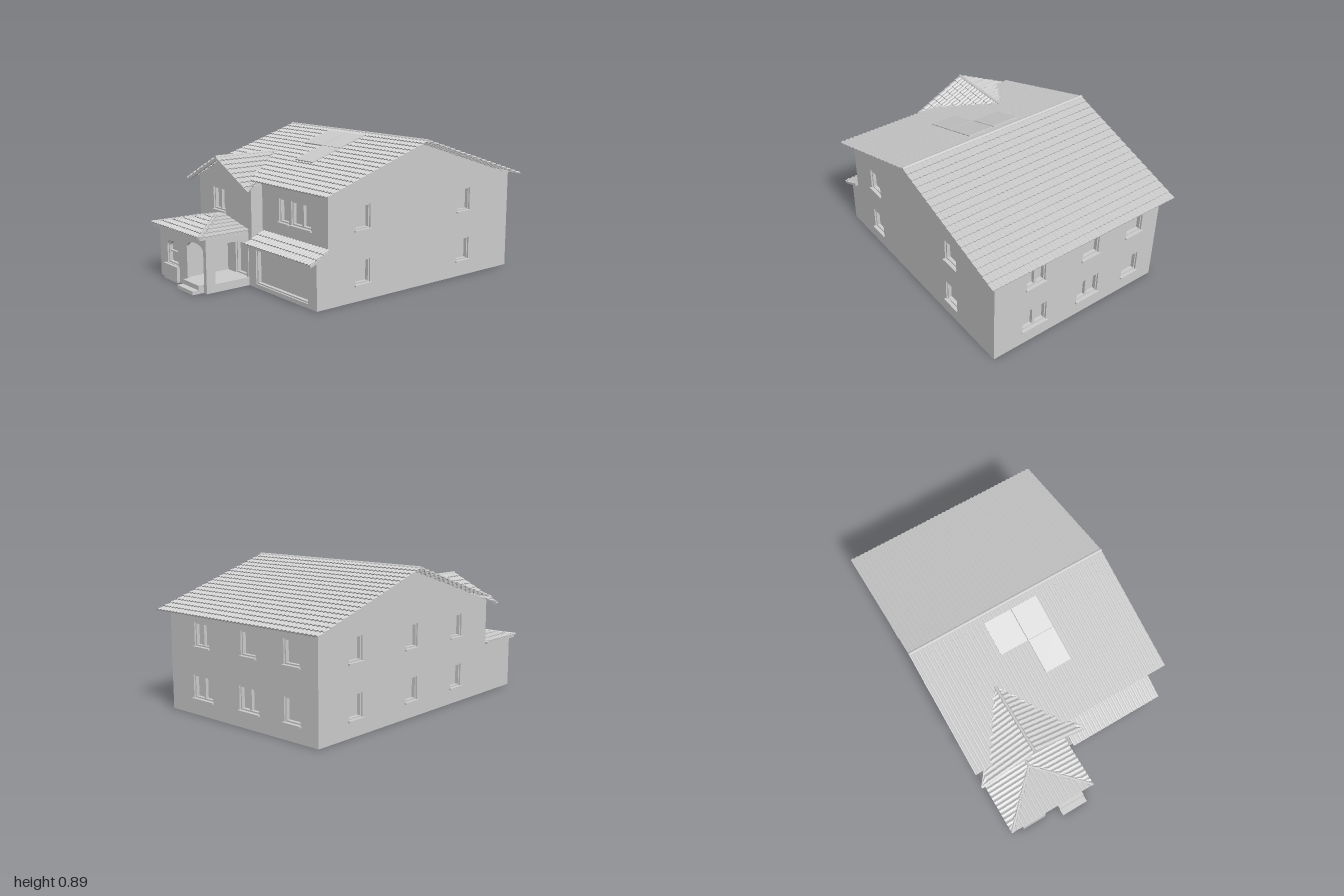
import * as THREE from 'three';

const stone = new THREE.MeshStandardMaterial({ color: 0xcccccc, side: THREE.DoubleSide });
stone.name = 'pale grey';

const V = (x, y, z) => new THREE.Vector3(x, y, z);
const X = V(1, 0, 0), Z = V(0, 0, 1);
const T = 0.018; // wall thickness

function add(parent, name, geometry) {
  const mesh = new THREE.Mesh(geometry, stone);
  mesh.name = name;
  parent.add(mesh);
  return mesh;
}

// Box given by its two corners
function box(parent, name, x0, x1, y0, y1, z0, z1) {
  const mesh = add(parent, name, new THREE.BoxGeometry(x1 - x0, y1 - y0, z1 - z0));
  mesh.position.set((x0 + x1) / 2, (y0 + y1) / 2, (z0 + z1) / 2);
  return mesh;
}

function rod(parent, name, a, b, r) {
  const mesh = add(parent, name, new THREE.CylinderGeometry(r, r, a.distanceTo(b), 8));
  mesh.position.copy(a).lerp(b, 0.5);
  mesh.quaternion.setFromUnitVectors(V(0, 1, 0), b.clone().sub(a).normalize());
}

// Outline of a rectangular opening, or an arched one if rise > 0
function outline(o, inset = 0, Type = THREE.Path) {
  const x0 = o.x0 + inset, x1 = o.x1 - inset, y0 = o.y0 + inset, y1 = o.y1 - inset;
  const rise = o.rise || 0, p = new Type();
  p.moveTo(x0, y0).lineTo(x1, y0).lineTo(x1, y1 - rise);
  if (rise) p.absellipse((x0 + x1) / 2, y1 - rise, (x1 - x0) / 2, rise, 0, Math.PI, false);
  else p.lineTo(x0, y1);
  p.closePath();
  return p;
}

const extrude = (shape, depth) =>
  new THREE.ExtrudeGeometry(shape, { depth, bevelEnabled: false, curveSegments: 14 });

// Frame, pane, bars and sill set back into an opening
function fillOpening(wall, o) {
  const ring = outline(o, 0, THREE.Shape);
  ring.holes.push(outline(o, 0.008));
  add(wall, o.name + 'Frame', extrude(ring, 0.028)).position.z = -0.038;
  add(wall, o.name + 'Pane', extrude(outline(o, 0.004, THREE.Shape), 0.004)).position.z = -0.036;
  const n = o.panes || 1;
  for (let i = 1; i < n; i++) {
    const x = o.x0 + (o.x1 - o.x0) * i / n;
    box(wall, o.name + 'Mullion', x - 0.008, x + 0.008, o.y0, o.y1, -0.036, -0.013);
  }
  if (o.rail) box(wall, o.name + 'Rail', o.x0, o.x1, o.rail - 0.004, o.rail + 0.004, -0.036, -0.016);
  if (o.sill !== false) box(wall, o.name + 'Sill', o.x0 - 0.007, o.x1 + 0.007, o.y0 - 0.01, o.y0, -0.01, 0.013);
}

// Wall with openings; local z = 0 is its outer face
function wall(parent, name, points, openings, position, turn = 0) {
  const g = new THREE.Group();
  g.name = name;
  g.position.copy(position);
  g.rotation.y = turn;
  const shape = new THREE.Shape(points.map(p => new THREE.Vector2(...p)));
  openings.forEach(o => shape.holes.push(outline(o)));
  add(g, name + 'Panel', extrude(shape, T)).position.z = -T;
  openings.filter(o => !o.open).forEach(o => fillOpening(g, o));
  parent.add(g);
}

const win = (cx, y0, w, panes = 1) =>
  ({ name: 'window', x0: cx - w / 2, x1: cx + w / 2, y0, y1: y0 + 0.14, panes });
const UP = 0.415, LOW = 0.1;

// Overlapping curved tiles: rows run across u, stepping along dir; span(h) limits each row
const TILE = 0.03, ROLL = [0, 0, 0.004, 0.0065, 0.004];
function tiles(parent, name, o, u, dir, run, drop, rows, span) {
  const n = V(0, run, 0).addScaledVector(dir, drop).normalize();
  const pos = [], step = TILE / ROLL.length, lift = 0.007;
  const ends = [...span(0), ...span(run)];
  const k0 = Math.floor(Math.min(...ends) / step), k1 = Math.ceil(Math.max(...ends) / step);
  const at = (h, k, up) => {
    const [a, b] = span(h);
    const p = o.clone().addScaledVector(u, Math.min(b, Math.max(a, k * step))).addScaledVector(dir, h);
    p.y -= drop * h / run;
    return p.addScaledVector(n, up + ROLL[((k % 5) + 5) % 5]);
  };
  const quad = (a, b, c, d) => {
    if (a.distanceTo(b) + c.distanceTo(d) < 1e-5) return;
    for (const p of [a, c, d, a, d, b]) pos.push(p.x, p.y, p.z);
  };
  for (let r = 0; r < rows; r++) {
    const h0 = run * r / rows, h1 = run * (r + 1) / rows;
    for (let k = k0; k < k1; k++) {
      const c = at(h1, k, lift), d = at(h1, k + 1, lift);
      quad(at(h0, k, 0), at(h0, k + 1, 0), c, d);
      quad(c, d, at(h1, k, -0.002), at(h1, k + 1, -0.002));
    }
  }
  const geometry = new THREE.BufferGeometry();
  geometry.setAttribute('position', new THREE.Float32BufferAttribute(pos, 3));
  geometry.computeVertexNormals();
  add(parent, name, geometry);
}

export function createModel() {
  const house = new THREE.Group();
  house.name = 'house';
  const left = X.clone().negate(), back = Z.clone().negate();

  // Front walls: gabled bay with garage, and the set-back upper storey
  wall(house, 'frontWall',
    [[-0.605, 0], [0.605, 0], [0.605, 0.28], [-0.02, 0.28], [-0.02, 0.61], [-0.31, 0.748], [-0.605, 0.61]],
    [win(-0.3725, UP, 0.135, 2),
      { name: 'garageDoor', x0: 0.02, x1: 0.525, y0: 0.025, y1: 0.255, sill: false },
      { name: 'frontDoor', x0: -0.2, x1: -0.085, y0: 0.05, y1: 0.27, sill: false }], V(0, 0, 0.63));
  wall(house, 'upperFrontWall', [[-0.03, 0.3], [0.605, 0.3], [0.605, 0.64], [-0.03, 0.64]],
    [win(0.1975, UP, 0.095), win(0.3625, UP, 0.185, 2)], V(0, 0, 0.55));
  box(house, 'bayReturnWall', -0.02 - T, -0.02, 0.28, 0.61, 0.54, 0.63 - T);

  // Back and side walls
  wall(house, 'backWall', [[-0.605, 0], [0.605, 0], [0.605, 0.625], [-0.605, 0.625]],
    [win(-0.32, UP, 0.13, 2), win(0.077, UP, 0.12), win(0.414, UP, 0.12),
      win(-0.32, LOW, 0.17, 2), win(0.077, LOW, 0.16, 2), win(0.414, LOW, 0.12)], V(0, 0, -0.94), Math.PI);
  wall(house, 'garageSideWall',
    [[-0.63, 0], [0.94, 0], [0.94, 0.625], [0.88, 0.628], [0.15, 0.86], [-0.55, 0.638], [-0.55, 0.31], [-0.63, 0.275]],
    [-0.3, 0.525].flatMap(c => [win(c, UP, 0.11), win(c, LOW, 0.11)]), V(0.605, 0, 0), Math.PI / 2);
  wall(house, 'porchSideWall',
    [[-0.94, 0], [0.925, 0], [0.925, 0.325], [0.63, 0.325], [0.63, 0.61], [0.55, 0.638], [-0.15, 0.86], [-0.88, 0.628], [-0.94, 0.625]],
    [-0.647, -0.155, 0.295].flatMap(c => [win(c, UP, 0.11), win(c, LOW, 0.11)]), V(-0.605, 0, 0), -Math.PI / 2);

  // Main roof
  const full = () => [-0.66, 0.66];
  tiles(house, 'mainRoofFront', V(0, 0.88, -0.15), X, Z, 0.76, 0.246, 16, full);
  tiles(house, 'mainRoofBack', V(0, 0.88, -0.15), left, back, 0.85, 0.275, 18, full);
  rod(house, 'mainRidge', V(-0.66, 0.88, -0.15), V(0.66, 0.88, -0.15), 0.011);

  // Roof panels lying on the front slope
  const panels = new THREE.Group();
  panels.name = 'roofPanels';
  panels.position.set(0, 0.88, -0.15);
  panels.rotation.x = Math.atan(0.3235);
  [[-0.19, -0.01, 0.05, 0.25], [-0.005, 0.165, 0.05, 0.25], [-0.005, 0.165, 0.254, 0.46]].forEach(([a, b, c, d]) =>
    box(panels, 'roofPanel', a, b, 0.006, 0.015, c * 1.051, d * 1.051));
  house.add(panels);

  // Gable roof over the bay, narrowing at the valleys
  const top = V(-0.31, 0.757, 0.69), depth = h => 0.455 - 1.27 * h;
  tiles(house, 'gableRoofRight', top, back, X, 0.35, 0.17, 8, h => [0, Math.max(0.01, depth(h))]);
  tiles(house, 'gableRoofLeft', top, Z, left, 0.35, 0.17, 8, h => [-Math.max(0.01, depth(h)), 0]);
  rod(house, 'gableRidge', top, V(-0.31, 0.757, 0.24), 0.01);
  for (const s of [-1, 1]) {
    const rake = new THREE.Shape([[0, 0.757], [s * 0.35, 0.587], [s * 0.342, 0.572], [0, 0.736]]
      .map(p => new THREE.Vector2(...p)));
    add(house, 'rakeBoard', extrude(rake, 0.012)).position.set(-0.31, 0, 0.676);
  }
  for (const [x, y] of [[0, 0.699], [-0.007, 0.688], [0.007, 0.688]]) {
    const vent = add(house, 'gableVent', new THREE.CylinderGeometry(0.005, 0.005, 0.008, 10));
    vent.rotation.x = Math.PI / 2;
    vent.position.set(-0.31 + x, y, 0.632);
  }

  // Pent roof above the garage
  tiles(house, 'pentRoof', V(-0.015, 0.335, 0.55), X, Z, 0.14, 0.065, 3, () => [0, 0.64]);
  const deck = new THREE.Shape([[-0.55, 0.315], [-0.55, 0.333], [-0.687, 0.27], [-0.687, 0.257]]
    .map(p => new THREE.Vector2(...p)));
  const deckMesh = add(house, 'pentDeck', extrude(deck, 0.638));
  deckMesh.rotation.y = Math.PI / 2;
  deckMesh.position.x = -0.014;

  // Porch walls, floor and steps
  wall(house, 'porchFront', [[-0.605, 0], [-0.055, 0], [-0.055, 0.325], [-0.605, 0.325]],
    [{ name: 'porchWindow', x0: -0.515, x1: -0.385, y0: 0.1, y1: 0.25, rise: 0.04, rail: 0.175, sill: false },
      { open: true, x0: -0.275, x1: -0.085, y0: 0.05, y1: 0.285, rise: 0.04 }], V(0, 0, 0.925));
  wall(house, 'porchSide', [[-0.925, 0], [-0.63, 0], [-0.63, 0.325], [-0.925, 0.325]],
    [{ open: true, x0: -0.865, x1: -0.635, y0: 0.05, y1: 0.285, rise: 0.055 }], V(-0.055, 0, 0), Math.PI / 2);
  box(house, 'porchPartition', -0.305, -0.29, 0, 0.325, 0.63, 0.91);
  box(house, 'porchFloor', -0.29, -0.06, 0.03, 0.05, 0.63, 0.92);
  box(house, 'lowerStep', -0.27, -0.09, 0, 0.022, 0.925, 1);
  box(house, 'upperStep', -0.27, -0.09, 0.022, 0.05, 0.925, 0.96);
  box(house, 'windowApron', -0.535, -0.37, 0, 0.097, 0.925, 0.945);

  // Hipped porch roof
  const apex = V(-0.34, 0.396, 0.68);
  box(house, 'porchSoffit', -0.622, -0.058, 0.322, 0.334, 0.63, 0.962);
  tiles(house, 'porchRoofFront', apex, X, Z, 0.288, 0.06, 6, h => [-h, h]);
  tiles(house, 'porchRoofRight', apex, back, X, 0.288, 0.06, 6, h => [-h, 0.05]);
  tiles(house, 'porchRoofLeft', apex, Z, left, 0.288, 0.06, 6, h => [-0.05, h]);
  for (const s of [-1, 1]) rod(house, 'porchHip', apex, V(-0.34 + s * 0.288, 0.341, 0.968), 0.009);
  rod(house, 'porchRidge', apex, V(-0.34, 0.396, 0.63), 0.009);

  return house;
}
